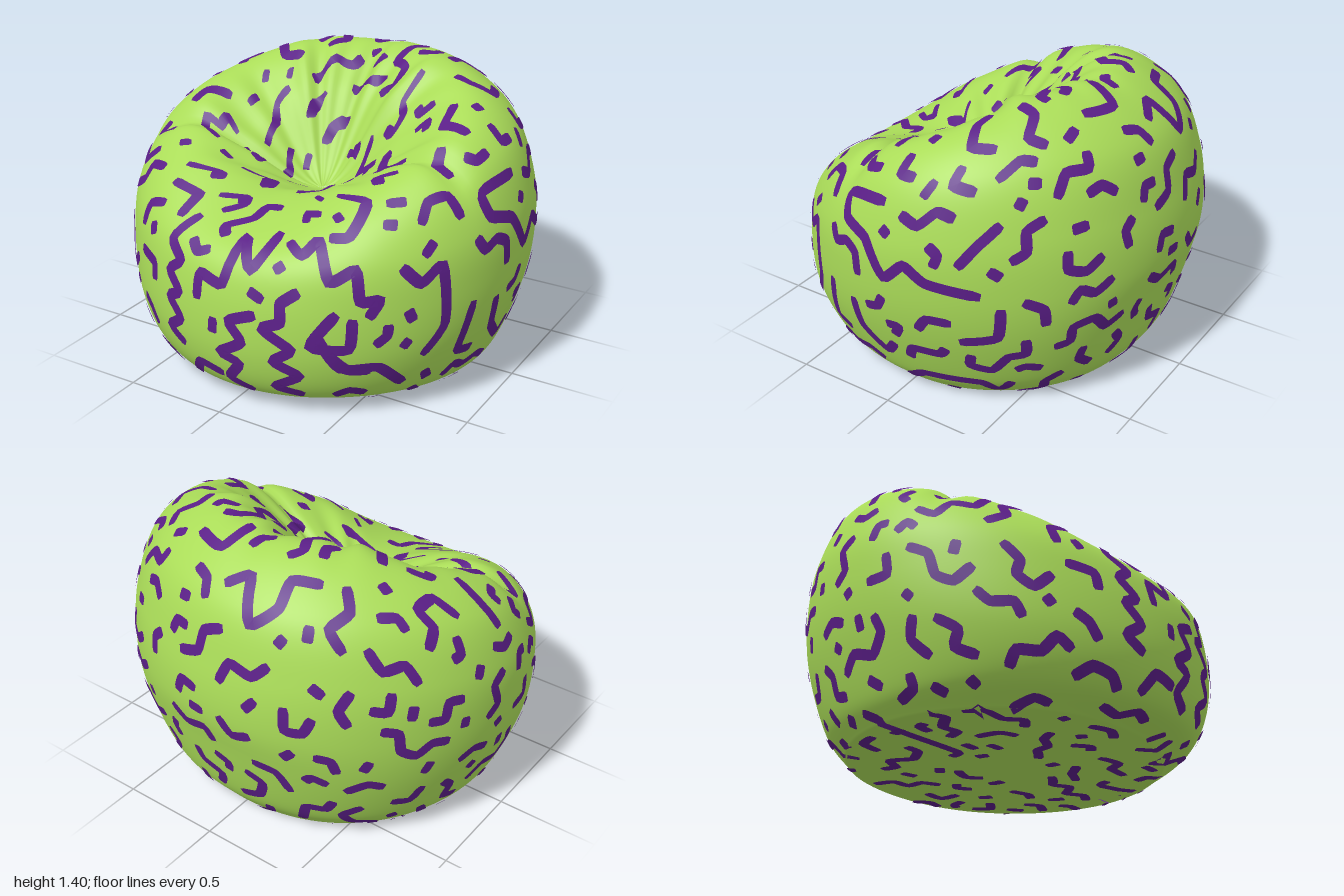
import * as THREE from 'three';
import { mergeGeometries } from 'three/addons/utils/BufferGeometryUtils.js';

// Profiles (radius, height) from the floor edge over the crown to the seat, every 45 degrees from front to back
const PROFILES = [
  [[.70, 0], [.88, .08], [.95, .28], [.93, .55], [.84, .72], [.62, .81], [.36, .85], [.16, .81]],
  [[.74, 0], [.88, .10], [.96, .30], [.97, .55], [.93, .76], [.80, .92], [.60, .98], [.33, .91]],
  [[.78, 0], [.87, .11], [.965, .38], [1.0, .62], [.985, .85], [.88, 1.09], [.67, 1.19], [.38, 1.03]],
  [[.76, 0], [.86, .13], [.95, .40], [.98, .65], [.95, .92], [.83, 1.19], [.56, 1.36], [.34, 1.22]],
  [[.73, 0], [.83, .15], [.91, .45], [.95, .66], [.92, .90], [.81, 1.19], [.54, 1.37], [.32, 1.20]],
].map((p) => [[0, 0], ...p, [0, .78]]);
const LAST = 9;

const cubic = (a, b, c, d, f) =>
  b + .5 * f * (c - a + f * (2 * a - 5 * b + 4 * c - d + f * (3 * (b - c) + d - a)));
const smooth = THREE.MathUtils.smoothstep;
const gauss = (x, w) => Math.exp(-(x * x) / (w * w));

function profilePoint(key, t, axis) {
  const k = Math.abs(key) > 4 ? 8 - Math.abs(key) : Math.abs(key);
  const p = PROFILES[k], i = Math.min(Math.floor(t), LAST - 1), f = t - i;
  const b = p[i][axis], c = p[i + 1][axis];
  if (i === 0) return b + (c - b) * f; // flat floor panel
  const before = i === 1 ? 2 * b - c : p[i - 1][axis];
  const after = i < LAST - 1 ? p[i + 2][axis] : p[LAST - 1][axis] * (axis ? 1 : -1);
  return cubic(before, b, c, after, f);
}

// Point on the bag: a is the angle from the front, t runs from floor centre (0) to seat centre (9)
function surface(a, t) {
  a = Math.atan2(Math.sin(a), Math.cos(a));
  t = THREE.MathUtils.clamp(t, 0, LAST);
  const u = Math.abs(a) / (Math.PI / 4), k = Math.min(Math.floor(u), 3);
  const [r, h] = [0, 1].map((axis) => cubic(
    profilePoint(k - 1, t, axis), profilePoint(k, t, axis),
    profilePoint(k + 1, t, axis), profilePoint(k + 2, t, axis), u - k));
  // folds running into the seat, and the crease between each arm and the front
  const fold = gauss(t - 7.8, .75) * (.25 + .75 * (1 - Math.cos(a)) / 2);
  let y = h + fold * (.016 * Math.sin(11 * a + 1) + .012 * Math.sin(19 * a + 2));
  y -= .05 * gauss(Math.abs(a) - 1.25, .08) * smooth(t, 5, 6.6) * (1 - smooth(t, 8, 9));
  const x = Math.sin(a) * r;
  y *= 1 + .025 * x * smooth(t, 4, 7);
  return new THREE.Vector3(x, Math.max(0, y), Math.cos(a) * r + .1 * smooth(t, 6, 9));
}

function frame(a, t) {
  const e = .002, p = surface(a, t);
  const da = surface(a + e, t).sub(surface(a - e, t)).divideScalar(2 * e);
  const dt = surface(a, t + e).sub(surface(a, t - e)).divideScalar(2 * e);
  return { p, da, dt, n: da.clone().cross(dt).normalize() };
}

// Move along the surface by a small vector d
function step(f, a, t, d) {
  return [a + d.dot(f.da) / Math.max(f.da.lengthSq(), .01), t + d.dot(f.dt) / Math.max(f.dt.lengthSq(), .01)];
}

function bagGeometry(around, up) {
  const pos = [], index = [];
  for (let j = 0; j <= up; j++) {
    for (let i = 0; i < around; i++) {
      pos.push(...surface(i / around * Math.PI * 2, j / up * LAST).toArray());
      const b = j * around + i, c = j * around + (i + 1) % around;
      if (j > 0 && j < up) index.push(b, c, c + around);
      if (j < up - 1) index.push(b, c + around, b + around);
    }
  }
  const g = new THREE.BufferGeometry();
  g.setAttribute('position', new THREE.Float32BufferAttribute(pos, 3));
  g.setIndex(index);
  g.computeVertexNormals();
  return g;
}

// Thin ribbon that follows the surface through (a, t) points
function ribbon(points, halfWidth) {
  const pos = [], nor = [], index = [], last = points.length - 1;
  points.forEach(([a, t], i) => {
    const f = frame(a, t);
    const q0 = points[Math.max(i - 1, 0)], q1 = points[Math.min(i + 1, last)];
    const dir = surface(...q1).sub(surface(...q0)).normalize();
    const side = f.n.clone().cross(dir).normalize().multiplyScalar(halfWidth * (i % last ? 1 : .7));
    for (const s of [1, -1]) {
      const edge = surface(...step(f, a, t, side.clone().multiplyScalar(s)));
      pos.push(...edge.addScaledVector(f.n, .007).toArray());
      nor.push(...f.n.toArray());
    }
    const b = i * 2;
    if (i < last) index.push(b, b + 1, b + 3, b, b + 3, b + 2);
  });
  const g = new THREE.BufferGeometry();
  g.setAttribute('position', new THREE.Float32BufferAttribute(pos, 3));
  g.setAttribute('normal', new THREE.Float32BufferAttribute(nor, 3));
  g.setIndex(index);
  return g;
}

function softPath(corners, perSegment) {
  const c = new THREE.CatmullRomCurve3(corners.map(([a, t]) => new THREE.Vector3(a, t, 0)), false, 'catmullrom', .25);
  const n = (corners.length - 1) * perSegment;
  return Array.from({ length: n + 1 }, (_, i) => { const p = c.getPoint(i / n); return [p.x, p.y]; });
}

// Large zigzags: (x, y) on the front, (z, y) on the left side, (x, z) on top
const FRONT = [
  [-.26, .80, -.35, .71, -.26, .64, -.34, .58, -.26, .50, -.33, .46, -.25, .38, -.32, .31, -.23, .25],
  [-.14, .50, -.14, .62, -.01, .60, .01, .77, .10, .68, .16, .80],
  [.22, .79, .32, .76, .37, .82, .46, .68, .55, .73, .59, .60, .66, .60, .62, .52],
  [.34, .63, .27, .57, .28, .48, .20, .45, .32, .36, .24, .29, .35, .23, .24, .15, .35, .11],
  [.17, .50, .03, .44, .10, .36, -.01, .28, .09, .24, .02, .15, .12, .10],
  [-.20, .09, -.14, .18, -.02, .16], [.50, .55, .41, .39, .55, .38, .57, .52],
  [.46, .36, .54, .27, .62, .26], [-.57, .59, -.46, .57, -.45, .48],
  [-.56, .36, -.50, .32, -.44, .25], [-.50, .10, -.45, .15, -.36, .13, -.30, .08],
];
const SIDE = [
  [0, 1.02, .22, .98, .22, .88, .08, .83, -.02, .68, -.13, .77, -.22, .70, -.45, .67],
  [.62, .74, .57, .66, .49, .73, .47, .45, .55, .30], [.19, .48, .16, .32, .05, .22, -.02, .29],
  [.34, .52, .37, .28, .28, .25], [-.08, .22, -.12, .30, -.25, .30, -.28, .35],
  [-.02, .06, -.12, .12, -.38, .12, -.42, .06, -.50, .13], [.86, .45, .80, .28, .70, .27, .57, .16],
  [0, .42, -.06, .42, -.04, .35], [-.35, .80, -.42, .90, -.50, 1.0], [-.35, .40, -.50, .45, -.52, .60],
];
const TOP = [
  [-.37, -.59, -.25, -.64, -.26, -.75, -.16, -.83, -.07, -.70, .02, -.76], [.08, -.50, .14, -.64, .30, -.59],
  [-.72, .16, -.69, .07, -.56, .05], [.35, .08, .38, .20, .51, .20], [.60, -.08, .62, .05, .75, .08],
  [-.50, -.35, -.42, -.24, -.32, -.24], [.33, .51, .49, .53, .49, .67, .41, .70],
  [.03, .37, .17, .40, .22, .37], [-.26, .40, -.13, .35, -.10, .43], [-.50, .61, -.34, .64, -.37, .75],
  [-.93, -.05, -.72, -.08],
];

function squiggles() {
  let seed = 7;
  const rnd = () => (seed = (seed * 16807) % 2147483647) / 2147483647;
  const out = [], used = [];
  const add = (path, w) => {
    out.push(ribbon(path, w));
    path.forEach((q) => used.push(surface(...q)));
  };
  // placed zigzags, found on a fine grid of the wall and crown
  const grid = [];
  for (let i = -180; i < 180; i++) for (let j = 0; j <= 145; j++) {
    const a = i * Math.PI / 180, t = 1 + j / 20;
    grid.push({ a, t, p: surface(a, t) });
  }
  const place = (list, u, v, facing) => {
    const wall = grid.filter(facing);
    for (const flat of list) {
      const corners = [];
      for (let i = 0; i < flat.length; i += 2) {
        let best = null, min = 9;
        for (const g of wall) {
          const d = Math.hypot(g.p[u] - flat[i], g.p[v] - flat[i + 1]);
          if (d < min) { min = d; best = g; }
        }
        // keep angles continuous across the back
        const a = corners.length ? corners[corners.length - 1][0] : best.a;
        corners.push([best.a + Math.round((a - best.a) / (2 * Math.PI)) * 2 * Math.PI, best.t]);
      }
      add(softPath(corners, 5), .026);
    }
  };
  place(FRONT, 'x', 'y', (g) => Math.abs(g.a) < 1.4 && g.t < 6.5);
  place(SIDE, 'z', 'y', (g) => g.a > .2 && g.a < 2.9 && g.t < 6.5);
  place(TOP, 'x', 'z', (g) => g.t > 4);
  // scattered squiggles fill the rest, long ones first
  for (let tries = 0; tries < 18000; tries++) {
    const late = tries > 8000;
    let a = rnd() * Math.PI * 2, t = .25 + rnd() * 8.4, heading = rnd() * Math.PI * 2;
    const chance = rnd(), f0 = frame(a, t);
    if (chance > f0.da.length() * f0.dt.length() * 2) continue;
    const corners = [[a, t]], count = late ? 1 + Math.floor(rnd() * 2) : 2 + Math.floor(rnd() * 4);
    let turn = rnd() < .5 ? 1 : -1;
    for (let i = 0; i < count; i++) {
      const f = frame(a, t), e1 = f.da.clone().normalize(), e2 = f.n.clone().cross(e1);
      const len = late ? .05 + rnd() * .04 : .075 + rnd() * .045;
      const d = e1.multiplyScalar(Math.cos(heading) * len).addScaledVector(e2, Math.sin(heading) * len);
      [a, t] = step(f, a, t, d);
      corners.push([a, t]);
      heading += turn * (.7 + rnd() * .8);
      if (rnd() < .75) turn = -turn;
    }
    if (corners.some((c) => c[1] < .2 || c[1] > 8.7)) continue;
    const path = softPath(corners, 4), gap = late ? .078 : .085;
    if (path.some((q) => { const p = surface(...q); return used.some((o) => o.distanceToSquared(p) < gap * gap); })) continue;
    add(path, .025);
  }
  return mergeGeometries(out);
}

export function createModel() {
  const lime = new THREE.MeshStandardMaterial({ name: 'lime fabric', color: 0xaadc58 });
  const purple = new THREE.MeshStandardMaterial({ name: 'purple print', color: 0x5a1e87 });
  const group = new THREE.Group();
  group.name = 'beanBagChair';
  const bag = new THREE.Mesh(bagGeometry(160, 108), lime);
  bag.name = 'bag';
  const print = new THREE.Mesh(squiggles(), purple);
  print.name = 'squigglePrint';
  group.add(bag, print);
  group.position.y = .007;
  return group;
}
